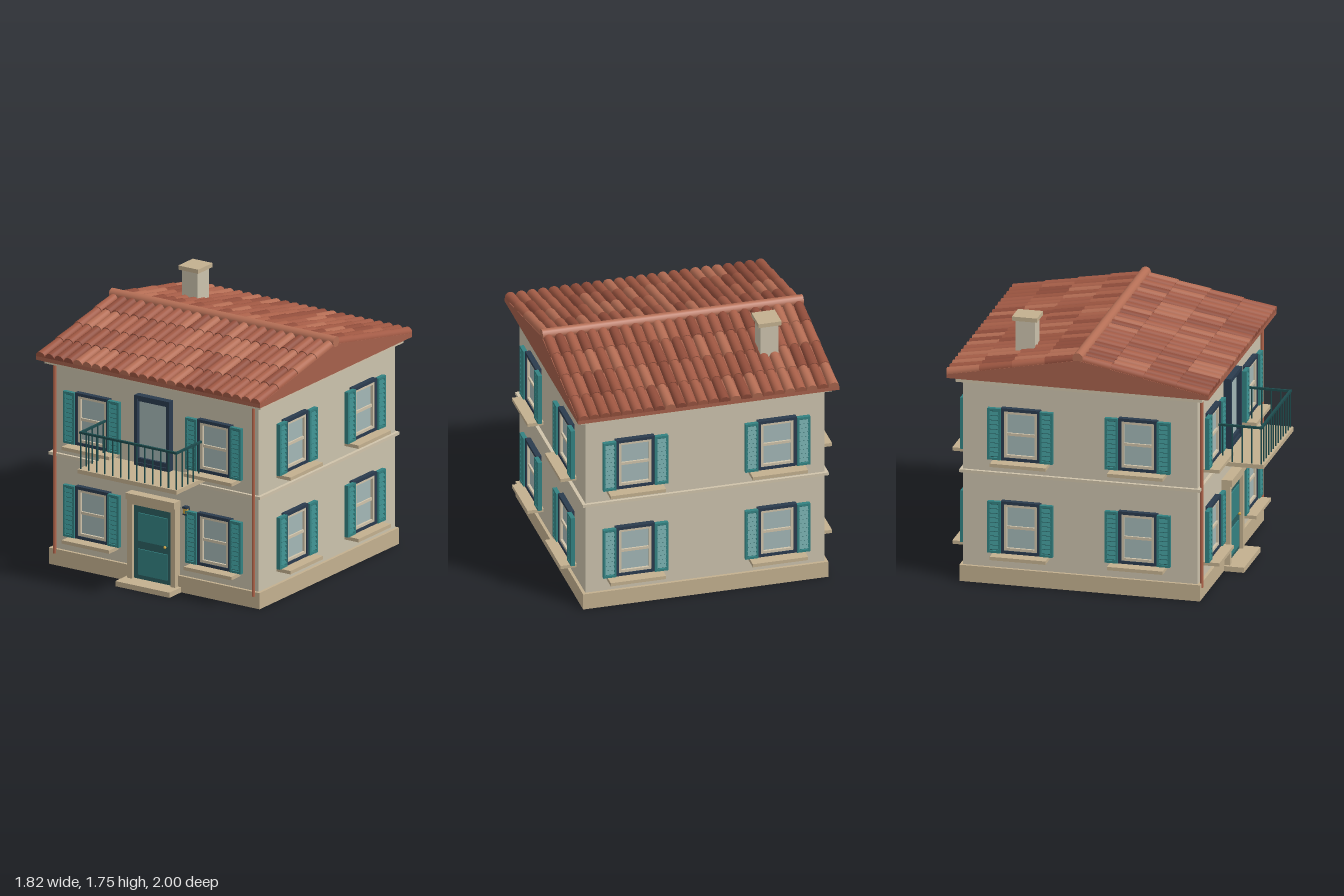
import * as THREE from 'three';

const mat = (color, side = THREE.FrontSide) => new THREE.MeshStandardMaterial({ color, side });
const M = {
  wall: mat(0xcbc2ac), trim: mat(0xc3b08f), cream: mat(0xcfc3aa), navy: mat(0x2a3b4e),
  teal: mat(0x338282), darkTeal: mat(0x2b5f61), rail: mat(0x1d4b4d), glass: mat(0xa3b7b6),
  roof: mat(0xa5604b), pipe: mat(0xb0644a), ridge: mat(0xb56f56), gold: mat(0xc9a040),
};
const TILES = [0xa85f48, 0x9c5540, 0xb36c53, 0x8f4c3a, 0xa25a45].map(c => mat(c));
const CZ = -0.11; // depth centre of the house

function add(parent, name, geo, material, x = 0, y = 0, z = 0) {
  const m = new THREE.Mesh(geo, material);
  m.name = name;
  m.position.set(x, y, z);
  parent.add(m);
  return m;
}

// Box given by its centre x, bottom and top y, back and front z
function block(parent, name, material, x, w, y0, y1, z0, z1) {
  return add(parent, name, new THREE.BoxGeometry(w, y1 - y0, z1 - z0), material, x, (y0 + y1) / 2, (z0 + z1) / 2);
}

function group(parent, name, x = 0, y = 0, z = 0) {
  const g = new THREE.Group();
  g.name = name;
  g.position.set(x, y, z);
  parent.add(g);
  return g;
}

// Rectangular frame with an open middle, its back at z
function frame(parent, name, material, w, h, bar, depth, y = 0, z = 0) {
  const s = new THREE.Shape();
  const rect = (p, a, b) => p.moveTo(-a, -b).lineTo(a, -b).lineTo(a, b).lineTo(-a, b).closePath();
  rect(s, w / 2, h / 2);
  s.holes.push(rect(new THREE.Path(), w / 2 - bar, h / 2 - bar));
  return add(parent, name, new THREE.ExtrudeGeometry(s, { depth, bevelEnabled: false }), material, 0, y, z);
}

// Shuttered window centred on its origin, wall surface at z = 0
function buildWindow() {
  const w = new THREE.Group();
  w.name = 'window';
  frame(w, 'outerFrame', M.navy, 0.26, 0.355, 0.02, 0.036);
  frame(w, 'innerFrame', M.cream, 0.222, 0.317, 0.019, 0.03);
  block(w, 'glass', M.glass, 0, 0.2, -0.15, 0.15, 0, 0.014);
  block(w, 'transom', M.cream, 0, 0.2, -0.009, 0.009, 0, 0.026);
  block(w, 'sill', M.trim, 0, 0.37, -0.204, -0.181, 0, 0.108);
  for (const side of [-1, 1]) {
    const s = group(w, 'shutter', side * 0.173, 0, 0.02);
    block(s, 'backPanel', M.darkTeal, 0, 0.08, -0.17, 0.17, 0, 0.014);
    frame(s, 'shutterFrame', M.teal, 0.088, 0.35, 0.015, 0.028);
    for (let i = 0; i < 10; i++) {
      const slat = block(s, 'slat', M.teal, 0, 0.06, -0.013, 0.013, 0.018, 0.025);
      slat.position.y = -0.1395 + i * 0.031;
      slat.rotation.x = -0.5;
    }
  }
  return w;
}

function buildWindows(house) {
  const proto = buildWindow();
  const walls = [
    ['front', 0, 0, 0.67, 0.475], ['back', Math.PI, 0, -0.89, 0.475],
    ['left', Math.PI / 2, 0.8, CZ, 0.39], ['right', -Math.PI / 2, -0.8, CZ, 0.39],
  ];
  for (const [name, turn, x, z, spread] of walls) {
    const g = group(house, name + 'Windows', x, 0, z);
    g.rotation.y = turn;
    for (const y of [0.395, 1.03]) for (const s of [-1, 1]) {
      const w = proto.clone();
      w.position.set(s * spread, y, 0);
      g.add(w);
    }
  }
}

function buildRoof(house) {
  const half = 0.87, eave = 1.42, apex = 1.59, width = 1.746;
  const roof = group(house, 'roof');
  // Gabled slab under the tiles
  const s = new THREE.Shape([[-half, 1.395], [half, 1.395], [half, eave], [0, apex], [-half, eave]]
    .map(p => new THREE.Vector2(...p)));
  const slab = add(roof, 'roofSlab', new THREE.ExtrudeGeometry(s, { depth: width, bevelEnabled: false }), M.roof, -width / 2, 0, CZ);
  slab.rotation.y = Math.PI / 2;

  // Overlapping half-round tiles on both slopes
  const cols = 24, rows = 4, pitch = width / cols;
  const length = Math.hypot(half, apex - eave), row = length / rows, tileLen = row + 0.02;
  const tile = new THREE.CylinderGeometry(0.03, pitch / 2, tileLen, 10, 1, false, -Math.PI / 2, Math.PI);
  let seed = 7;
  const rand = () => (seed = (seed * 16807) % 2147483647) / 2147483647;
  for (const turn of [0, Math.PI]) {
    const side = group(roof, turn ? 'backSlope' : 'frontSlope', 0, apex, CZ);
    side.rotation.y = turn;
    const slope = group(side, 'tiles');
    slope.rotation.x = Math.atan2(apex - eave, half) - Math.PI / 2;
    for (let c = 0; c < cols; c++) for (let r = 0; r < rows; r++) {
      add(slope, 'roofTile', tile, TILES[Math.floor(rand() * TILES.length)],
        (c + 0.5) * pitch - width / 2, -(r + 1) * row + tileLen / 2, 0);
    }
  }
  add(roof, 'ridge', new THREE.CylinderGeometry(0.035, 0.035, width, 14), M.ridge, 0, 1.605, CZ).rotation.z = Math.PI / 2;

  // Chimney
  const ch = group(house, 'chimney', -0.512, 0, -0.537);
  block(ch, 'chimneyShaft', M.wall, 0, 0.12, 1.42, 1.722, -0.065, 0.065);
  block(ch, 'chimneyCap', M.trim, 0, 0.155, 1.722, 1.75, -0.083, 0.083);
}

function buildDoor(house) {
  const d = group(house, 'frontDoor', 0, 0, 0.67);
  block(d, 'doorStep', M.trim, 0, 0.42, 0, 0.035, -0.02, 0.155);
  block(d, 'doorLeaf', M.darkTeal, 0, 0.3, 0.035, 0.545, -0.01, 0.03);
  for (const [y0, y1] of [[0.065, 0.24], [0.295, 0.485]]) {
    block(d, 'doorPanel', M.teal, 0, 0.225, y0, y1, 0, 0.038);
  }
  for (const s of [-1, 1]) block(d, 'doorPost', M.trim, s * 0.168, 0.037, 0.035, 0.565, 0, 0.055);
  block(d, 'doorHead', M.trim, 0, 0.373, 0.54, 0.575, 0, 0.055);
  block(d, 'doorCornice', M.trim, 0, 0.38, 0.572, 0.615, 0, 0.07);
  add(d, 'doorKnob', new THREE.SphereGeometry(0.01, 12, 8), M.gold, 0.1, 0.29, 0.045);

  // Wall lantern beside the door
  const l = group(house, 'lantern', 0.257, 0, 0.67);
  block(l, 'lanternBracket', M.navy, 0, 0.02, 0.56, 0.58, 0, 0.03);
  block(l, 'lanternGlass', M.gold, 0, 0.024, 0.55, 0.585, 0.022, 0.048);
  block(l, 'lanternTop', M.navy, 0, 0.034, 0.585, 0.597, 0.017, 0.053);
  block(l, 'lanternBase', M.navy, 0, 0.03, 0.54, 0.55, 0.02, 0.05);
}

function buildBalcony(house) {
  const b = group(house, 'balcony');
  block(b, 'balconySlab', M.trim, 0, 0.77, 0.782, 0.81, 0.66, 1);
  // Railing
  const X = 0.372, Z = 0.982;
  block(b, 'frontRail', M.rail, 0, 2 * X + 0.014, 1.05, 1.064, Z - 0.008, Z + 0.008);
  const bar = new THREE.CylinderGeometry(0.005, 0.005, 0.25, 8);
  for (let i = 0; i <= 12; i++) add(b, 'baluster', bar, M.rail, -X + i * X / 6, 0.932, Z);
  for (const s of [-1, 1]) {
    block(b, 'sideRail', M.rail, s * X, 0.014, 1.05, 1.064, 0.67, Z);
    for (let i = 1; i < 5; i++) add(b, 'baluster', bar, M.rail, s * X, 0.932, Z - i * 0.064);
  }
  // Glazed door onto the balcony
  const d = group(house, 'balconyDoor', 0, 0, 0.67);
  frame(d, 'doorFrame', M.navy, 0.27, 0.475, 0.022, 0.05, 1.0475);
  block(d, 'doorHeader', M.navy, 0, 0.23, 1.245, 1.27, 0, 0.04);
  block(d, 'kickPanel', M.navy, 0, 0.23, 0.82, 0.86, 0, 0.04);
  block(d, 'doorGlass', M.glass, 0, 0.228, 0.855, 1.25, 0, 0.022);
}

export function createModel() {
  const house = new THREE.Group();
  house.name = 'house';
  // Walls and horizontal bands
  block(house, 'plinth', M.trim, 0, 1.64, 0, 0.11, -0.91, 0.69);
  block(house, 'walls', M.wall, 0, 1.6, 0.1, 1.37, -0.89, 0.67);
  block(house, 'stringCourse', M.cream, 0, 1.645, 0.742, 0.762, -0.91, 0.69);
  block(house, 'eaveCornice', M.cream, 0, 1.68, 1.363, 1.397, -0.93, 0.71);
  buildRoof(house);
  buildWindows(house);
  buildDoor(house);
  buildBalcony(house);
  // Downpipes
  for (const s of [-1, 1]) {
    add(house, 'downpipe', new THREE.CylinderGeometry(0.011, 0.011, 1.31, 12), M.pipe, s * 0.773, 0.735, 0.69);
  }
  return house;
}
